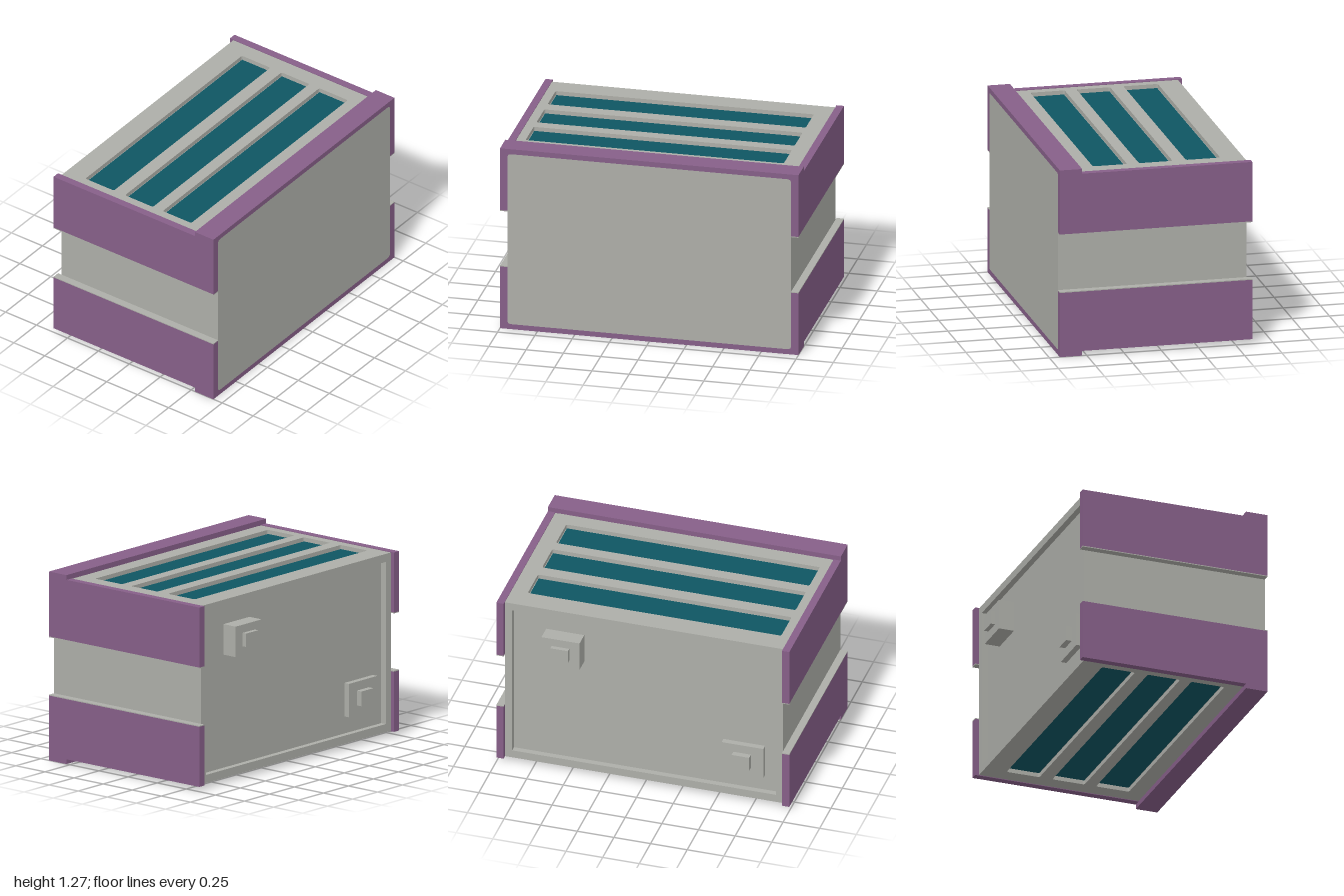
import * as THREE from 'three';

const material = (name, color) => Object.assign(new THREE.MeshStandardMaterial({ color }), { name });

// Rounded rectangle outline given by its limits, traced on a Shape or Path
function roundRect(path, x0, x1, y0, y1, r) {
  path.moveTo(x0 + r, y0);
  path.lineTo(x1 - r, y0).quadraticCurveTo(x1, y0, x1, y0 + r);
  path.lineTo(x1, y1 - r).quadraticCurveTo(x1, y1, x1 - r, y1);
  path.lineTo(x0 + r, y1).quadraticCurveTo(x0, y1, x0, y1 - r);
  path.lineTo(x0, y0 + r).quadraticCurveTo(x0, y0, x0 + r, y0);
  return path;
}

export function createModel() {
  const model = new THREE.Group();
  model.name = 'unitCase';
  const grey = material('grey shell', 0xadaea8);
  const purple = material('purple trim', 0x865f88);
  const teal = material('teal vent', 0x0f5662);
  const MID = 0.635, BODY_TOP = 1.234, FLOOR = 1.205;

  const add = (name, geometry, mat) => {
    const mesh = new THREE.Mesh(geometry, mat);
    mesh.name = name;
    model.add(mesh);
    return mesh;
  };
  // Box given by its limits on each axis
  const box = (name, mat, x0, x1, y0, y1, z0, z1) =>
    add(name, new THREE.BoxGeometry(x1 - x0, y1 - y0, z1 - z0)
      .translate((x0 + x1) / 2, (y0 + y1) / 2, (z0 + z1) / 2), mat);
  const extrude = (shape, depth, z0) =>
    new THREE.ExtrudeGeometry(shape, { depth, bevelEnabled: false, curveSegments: 5 }).translate(0, 0, z0);

  // Core and front panel
  box('core', grey, -0.95, 0.95, 2 * MID - FLOOR, FLOOR, -0.545, 0.676);
  add('frontPanel', extrude(roundRect(new THREE.Shape(), -0.95, 0.95, 0.035, 1.235, 0.025), 0.01, 0.67), grey);

  // Back frame around the recessed back panel
  const frame = roundRect(new THREE.Shape(), -0.95, 0.95, 2 * MID - FLOOR, FLOOR, 0);
  frame.holes.push(roundRect(new THREE.Path(), -0.9, 0.9, 0.09, 1.18, 0));
  add('backFrame', extrude(frame, 0.04, -0.585), grey);

  // Slotted plates on the top and bottom, with teal vents at the slot floors
  const slots = [[-0.435, -0.205], [-0.115, 0.11], [0.19, 0.42]];
  const plate = roundRect(new THREE.Shape(), -0.95, 0.95, -0.67, 0.585, 0);
  for (const [z0, z1] of slots) {
    plate.holes.push(roundRect(new THREE.Path(), -0.89, 0.84, -z1, -z0, 0.015));
  }
  const thick = BODY_TOP - FLOOR;
  for (const top of [true, false]) {
    const side = top ? 'top' : 'bottom';
    const y = top ? FLOOR : 2 * MID - BODY_TOP;
    add(side + 'Plate', extrude(plate, thick, 0).rotateX(-Math.PI / 2).translate(0, y, 0), grey);
    const ventY = top ? FLOOR : 2 * MID - FLOOR;
    for (const [z0, z1] of slots) {
      box(side + 'Vent', teal, -0.885, 0.835, ventY - 0.003, ventY + 0.003, z0 + 0.005, z1 - 0.005);
    }
  }

  // Front trim: a shallow U over the top, mirrored under the bottom
  const trimShape = (s) => {
    const y = (v) => MID + s * v;
    const u = new THREE.Shape();
    u.moveTo(-1, y(0.199)).lineTo(-1, y(0.635)).lineTo(1, y(0.635)).lineTo(1, y(0.199));
    u.lineTo(0.95, y(0.199)).lineTo(0.95, y(0.575)).quadraticCurveTo(0.95, y(0.6), 0.925, y(0.6));
    u.lineTo(-0.925, y(0.6)).quadraticCurveTo(-0.95, y(0.6), -0.95, y(0.575));
    u.lineTo(-0.95, y(0.199));
    return u;
  };
  for (const s of [1, -1]) {
    const half = s > 0 ? 'upper' : 'lower';
    add(half + 'FrontTrim', extrude(trimShape(s), 0.15, 0.53), purple);
    // Side rails, each with a grey edge facing the middle channel
    for (const m of [1, -1]) {
      const spanX = m > 0 ? [0.95, 1] : [-1, -0.95];
      const rangeY = (a, b) => [MID + s * a, MID + s * b].sort((p, q) => p - q);
      box(half + 'SideRail', purple, ...spanX, ...rangeY(0.199, 0.603), -0.612, 0.53);
      box(half + 'RailEdge', grey, ...spanX, ...rangeY(0.193, 0.199), -0.612, 0.68);
    }
  }

  // Connector blocks on the back
  box('upperConnector', grey, 0.42, 0.68, 0.85, 1.055, -0.65, -0.54);
  box('upperConnectorButton', grey, 0.49, 0.61, 0.91, 1.0, -0.68, -0.645);
  box('lowerConnector', grey, -0.815, -0.53, 0.205, 0.43, -0.585, -0.54);
  box('lowerConnectorButton', grey, -0.73, -0.61, 0.27, 0.37, -0.625, -0.58);

  return model;
}
